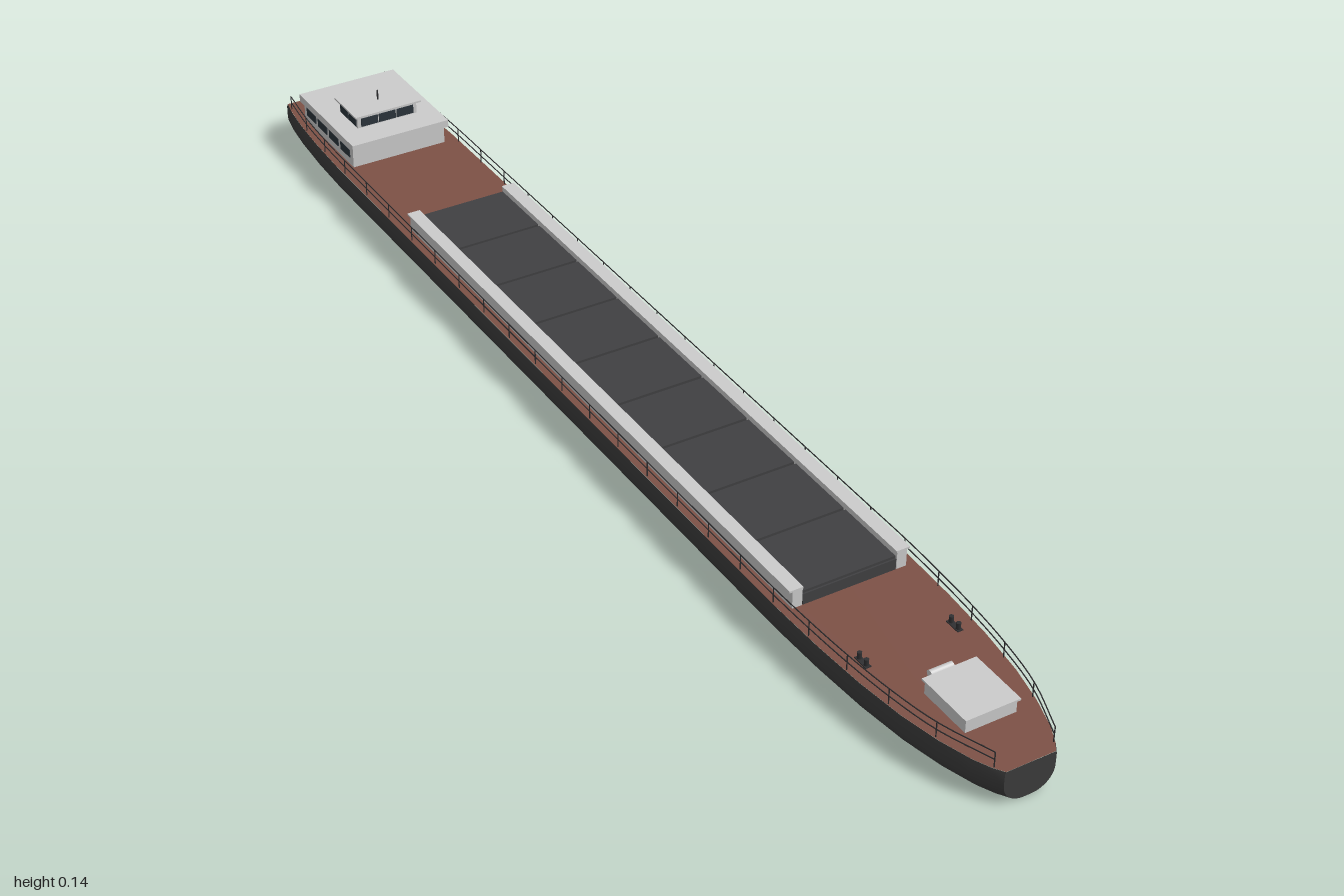
import * as THREE from 'three';
import { toCreasedNormals } from 'three/addons/utils/BufferGeometryUtils.js';

const DECK = 0.055;
const mat = (color) => new THREE.MeshStandardMaterial({ color });
const grey = mat(0xcccccc), hullMat = mat(0x3c3c3c), deckMat = mat(0x7d5146);
const coverMat = mat(0x404042), glass = mat(0x2b343b), dark = mat(0x303032);

// half breadth of the deck at stations from stern to bow
const STATIONS = [
  [-1, 0.09], [-0.97, 0.096], [-0.92, 0.102], [-0.85, 0.107], [-0.76, 0.11], [-0.4, 0.11], [0, 0.11],
  [0.4, 0.11], [0.58, 0.11], [0.68, 0.107], [0.77, 0.101], [0.85, 0.091], [0.91, 0.078],
  [0.96, 0.062], [0.985, 0.05], [1, 0.04],
];

function halfWidth(z) {
  for (let i = 1; i < STATIONS.length; i++) {
    const [z0, w0] = STATIONS[i - 1], [z1, w1] = STATIONS[i];
    if (z <= z1) return w0 + (w1 - w0) * (z - z0) / (z1 - z0);
  }
  return 0.04;
}

// cross-section from the left deck edge, round the bilges, to the right deck edge
function section(w) {
  const half = [[w - 0.0015, DECK], [w, DECK - 0.004]];
  for (let i = 0; i <= 8; i++) {
    const a = i / 8 * Math.PI / 2;
    half.push([w - 0.034 * (1 - Math.cos(a)), 0.032 * (1 - Math.sin(a))]);
  }
  return [...half, ...half.slice().reverse().map(([x, y]) => [-x, y])];
}

function hullGeometry() {
  const pos = [], idx = [];
  const n = section(0.1).length;
  for (const [z, w] of STATIONS) for (const [x, y] of section(w)) pos.push(x, y, z);
  const last = (STATIONS.length - 1) * n;
  for (let i = 0; i < STATIONS.length - 1; i++) {
    for (let j = 0; j < n - 1; j++) {
      const a = i * n + j, c = a + n;
      idx.push(a, c, a + 1, a + 1, c, c + 1);
    }
  }
  // flat transom and stem
  const centre = STATIONS.length * n;
  pos.push(0, DECK, -1, 0, DECK, 1);
  for (let j = 0; j < n - 1; j++) {
    idx.push(centre, j, j + 1, centre + 1, last + j + 1, last + j);
  }
  const g = new THREE.BufferGeometry();
  g.setAttribute('position', new THREE.Float32BufferAttribute(pos, 3));
  g.setIndex(idx);
  return toCreasedNormals(g, 0.6);
}

function add(parent, name, geometry, material) {
  const m = new THREE.Mesh(geometry, material);
  m.name = name;
  parent.add(m);
  return m;
}

// box given by its centre in x and z and its bottom in y
function box(parent, name, material, w, h, d, x, y, z) {
  const m = add(parent, name, new THREE.BoxGeometry(w, h, d), material);
  m.position.set(x, y + h / 2, z);
  return m;
}

function post(parent, name, material, r, h, x, y, z, sides = 6) {
  const m = add(parent, name, new THREE.CylinderGeometry(r, r, h, sides), material);
  m.position.set(x, y + h / 2, z);
  return m;
}

function group(parent, name) {
  const g = new THREE.Group();
  g.name = name;
  parent.add(g);
  return g;
}

export function createModel() {
  const ship = new THREE.Group();
  ship.name = 'cargoBarge';

  // hull and deck
  add(ship, 'hull', hullGeometry(), hullMat);
  const outline = [
    ...STATIONS.map(([z, w]) => new THREE.Vector2(w - 0.0015, -z)),
    ...STATIONS.slice().reverse().map(([z, w]) => new THREE.Vector2(0.0015 - w, -z)),
  ];
  const deck = add(ship, 'deck', new THREE.ShapeGeometry(new THREE.Shape(outline)).rotateX(-Math.PI / 2), deckMat);
  deck.position.y = DECK + 0.0004;

  // cargo hold: nine covers between two raised coamings
  const hold = group(ship, 'cargoHold');
  const z0 = -0.52, z1 = 0.6, count = 9, step = (z1 - z0) / count;
  box(hold, 'holdBase', coverMat, 0.15, 0.018, z1 - z0, 0, DECK, (z0 + z1) / 2);
  for (let i = 0; i < count; i++) {
    box(hold, 'hatchCover', coverMat, 0.15, 0.004, step - 0.005, 0, DECK + 0.018, z0 + (i + 0.5) * step);
  }
  for (const s of [-1, 1]) {
    box(hold, 'coaming', grey, 0.016, 0.028, z1 - z0, s * 0.084, DECK, (z0 + z1) / 2);
    box(hold, 'coamingCap', grey, 0.022, 0.003, z1 - z0, s * 0.086, DECK + 0.028, (z0 + z1) / 2);
  }

  // accommodation near the stern
  const house = group(ship, 'accommodation');
  const hz = -0.84;
  box(house, 'houseWalls', grey, 0.17, 0.034, 0.19, 0, DECK, hz);
  box(house, 'houseRoof', grey, 0.178, 0.013, 0.208, 0, 0.088, hz);
  for (const s of [-1, 1]) {
    for (let i = 0; i < 4; i++) {
      box(house, 'houseWindow', glass, 0.002, 0.015, 0.035, s * 0.0855, 0.069, hz - 0.066 + i * 0.044);
    }
  }

  // wheelhouse with windows all round, and mast
  const wheel = group(ship, 'wheelhouse');
  const wz = -0.82;
  box(wheel, 'wheelhouseWalls', grey, 0.11, 0.023, 0.068, 0, 0.1, wz);
  box(wheel, 'wheelhouseRoof', grey, 0.122, 0.003, 0.082, 0, 0.123, wz);
  for (const s of [-1, 1]) {
    for (let i = -1; i <= 1; i++) {
      box(wheel, 'wheelhouseWindow', glass, 0.031, 0.015, 0.002, i * 0.033, 0.103, wz + s * 0.0345);
    }
    for (const dz of [-0.016, 0.016]) {
      box(wheel, 'wheelhouseSideWindow', glass, 0.002, 0.015, 0.028, s * 0.0555, 0.103, wz + dz);
    }
  }
  post(wheel, 'mast', dark, 0.0015, 0.017, 0, 0.126, wz, 8);

  // forecastle locker and windlass
  const fore = group(ship, 'forecastle');
  box(fore, 'locker', grey, 0.08, 0.021, 0.088, 0, DECK, 0.872);
  box(fore, 'lockerLid', grey, 0.086, 0.003, 0.095, 0, DECK + 0.021, 0.872);
  const drum = add(fore, 'windlass', new THREE.CylinderGeometry(0.006, 0.006, 0.036, 12).rotateZ(Math.PI / 2), grey);
  drum.position.set(0, DECK + 0.008, 0.808);
  for (const s of [-1, 1]) box(fore, 'windlassFoot', dark, 0.003, 0.01, 0.012, s * 0.015, DECK, 0.808);

  // paired bollards
  for (const s of [-1, 1]) {
    const pair = group(ship, 'bollards');
    box(pair, 'bollardBase', dark, 0.009, 0.002, 0.026, s * 0.073, DECK, 0.738);
    for (const dz of [-0.008, 0.008]) post(pair, 'bollard', dark, 0.0035, 0.012, s * 0.073, DECK, 0.738 + dz, 10);
  }

  // side railings following the deck edge
  for (const s of [-1, 1]) {
    const rail = group(ship, 'railing');
    const steps = 24, from = -0.98, to = 0.985, pts = [];
    for (let i = 0; i <= steps; i++) {
      const z = from + (to - from) * i / steps, x = s * (halfWidth(z) - 0.004);
      pts.push([x, z]);
      post(rail, 'stanchion', dark, 0.0009, 0.025, x, DECK, z, 5);
    }
    for (const y of [0.068, 0.08]) {
      const curve = new THREE.CatmullRomCurve3(pts.map(([x, z]) => new THREE.Vector3(x, y, z)));
      add(rail, 'handrail', new THREE.TubeGeometry(curve, 96, 0.0009, 5), dark);
    }
  }
  return ship;
}
